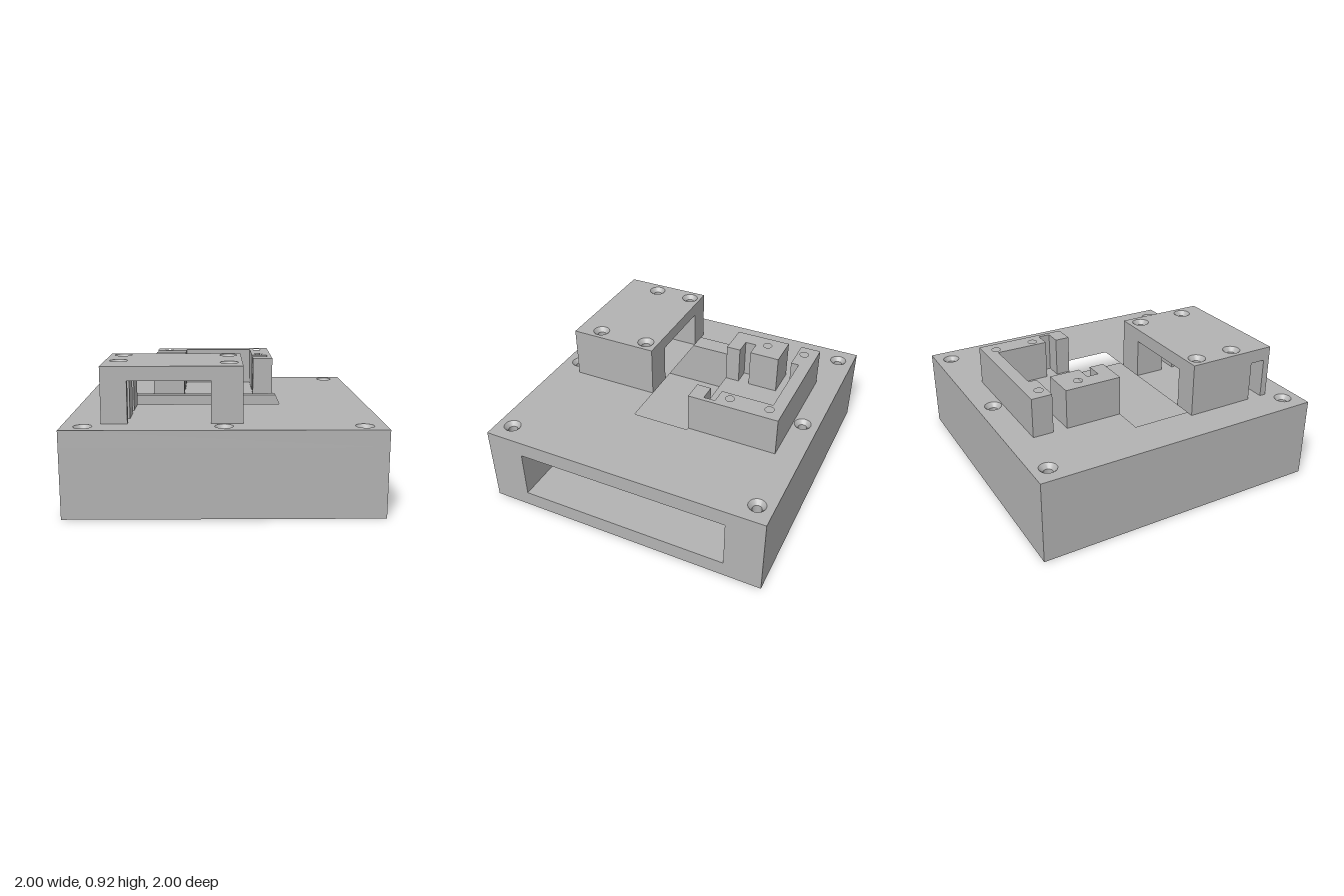
import * as THREE from 'three';
import { toCreasedNormals } from 'three/addons/utils/BufferGeometryUtils.js';

const grey = new THREE.MeshStandardMaterial({ color: 0xb3b3b3 });
grey.name = 'plain grey';

// Extrude a plan outline, given as [x, z] points, from y0 up to y1
function slab(name, outline, y0, y1, holes = [], radius = 0.03, cutouts = []) {
  const toPoints = (list) => list.map(([x, z]) => new THREE.Vector2(x, -z));
  const shape = new THREE.Shape(toPoints(outline));
  for (const [x, z] of holes) {
    shape.holes.push(new THREE.Path().absarc(x, -z, radius, 0, Math.PI * 2, true));
  }
  for (const cut of cutouts) shape.holes.push(new THREE.Path(toPoints(cut)));
  const geometry = new THREE.ExtrudeGeometry(shape, { depth: y1 - y0, bevelEnabled: false, curveSegments: 12 });
  geometry.rotateX(-Math.PI / 2);
  geometry.translate(0, y0, 0);
  const mesh = new THREE.Mesh(geometry, grey);
  mesh.name = name;
  return mesh;
}

const rect = (x0, x1, z0, z1) => [[x0, z0], [x1, z0], [x1, z1], [x0, z1]];

// Inside of a countersunk screw hole, top rim at y
function countersinks(name, holes, y, depth) {
  const group = new THREE.Group();
  group.name = name;
  const profile = [[0.058, 0], [0.031, -0.03], [0.031, -depth], [0, -depth]].map(([r, h]) => new THREE.Vector2(r, h));
  const geometry = toCreasedNormals(new THREE.LatheGeometry(profile, 24), 0.5);
  for (const [x, z] of holes) {
    const mesh = new THREE.Mesh(geometry, grey);
    mesh.name = 'countersunkHole';
    mesh.position.set(x, y, z);
    group.add(mesh);
  }
  return group;
}

export function createModel() {
  const model = new THREE.Group();
  model.name = 'mountingBox';

  // Box with a wide pocket open on the +x side
  const box = new THREE.Group();
  box.name = 'box';
  box.add(slab('boxFloor', rect(-1, 1, -1, 1), 0, 0.11));
  box.add(slab('boxWalls', [
    [1, -1], [-1, -1], [-1, 1], [1, 1], [1, 0.74], [-0.74, 0.74], [-0.74, -0.74], [1, -0.74],
  ], 0.11, 0.45));
  model.add(box);

  // Lid with a rectangular window and six screw holes
  const lidHoles = [];
  for (const x of [-0.867, 0, 0.865]) for (const z of [-0.89, 0.89]) lidHoles.push([x, z]);
  model.add(slab('lid', rect(-1, 1, -1, 1), 0.45, 0.56, lidHoles, 0.058, [rect(-0.715, 0.395, -0.2, 0.2)]));
  model.add(countersinks('lidScrewHoles', lidHoles, 0.56, 0.11));

  // Rear bracket: open frame with slotted posts
  const rear = new THREE.Group();
  rear.name = 'rearBracket';
  rear.add(slab('rearFrame', [
    [-0.515, -0.825], [0.375, -0.825], [0.375, -0.2], [0.23, -0.2], [0.23, -0.3], [0.345, -0.3],
    [0.345, -0.38], [0.23, -0.38], [0.23, -0.74], [-0.285, -0.74], [-0.285, -0.685], [-0.515, -0.685],
  ], 0.56, 0.83, [[-0.425, -0.735], [0.285, -0.735], [0.285, -0.46]]));
  rear.add(slab('rearPost', [
    [-0.515, -0.59], [-0.285, -0.59], [-0.285, -0.38], [-0.4, -0.38],
    [-0.4, -0.3], [-0.285, -0.3], [-0.285, -0.2], [-0.515, -0.2],
  ], 0.56, 0.83, [[-0.425, -0.46]]));
  model.add(rear);

  // Front bracket: deck on notched legs
  const front = new THREE.Group();
  front.name = 'frontBracket';
  const deckHoles = [[-0.677, 0.28], [-0.677, 0.56], [0.035, 0.29], [0.035, 0.65]];
  front.add(slab('deck', rect(-0.765, 0.12, 0.2, 0.82), 0.83, 0.92, deckHoles, 0.058));
  front.add(countersinks('deckScrewHoles', deckHoles, 0.92, 0.09));
  front.add(slab('innerLeg', [
    [-0.08, 0.2], [0.12, 0.2], [0.12, 0.82], [-0.08, 0.82],
    [-0.08, 0.5], [0.09, 0.5], [0.09, 0.41], [-0.08, 0.41],
  ], 0.56, 0.83));
  front.add(slab('outerLeg', [
    [-0.765, 0.2], [-0.6, 0.2], [-0.6, 0.41], [-0.73, 0.41],
    [-0.73, 0.5], [-0.6, 0.5], [-0.6, 0.67], [-0.765, 0.67],
  ], 0.56, 0.83));
  front.add(slab('outerPost', rect(-0.765, -0.6, 0.775, 0.82), 0.56, 0.83));
  model.add(front);

  return model;
}
